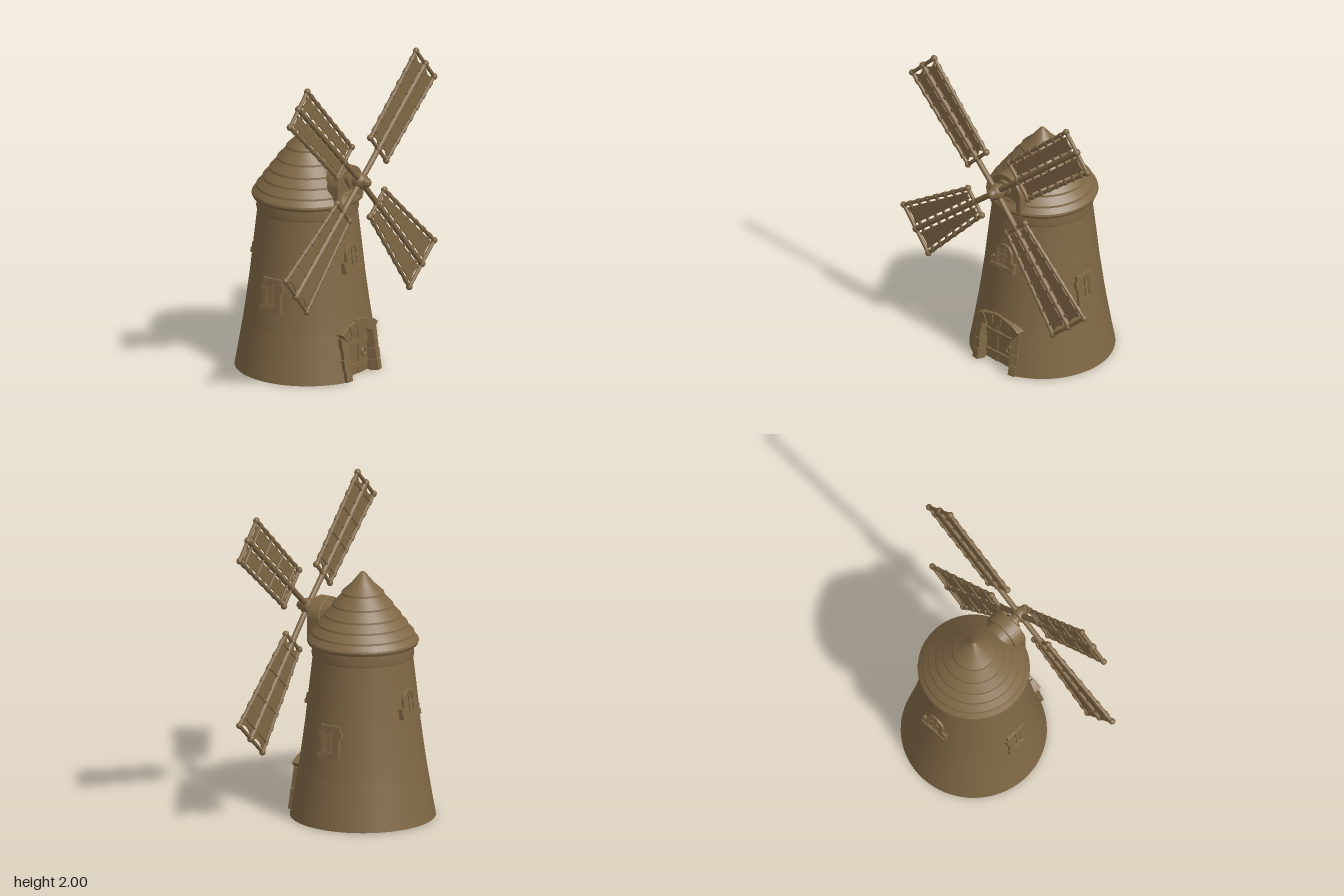
import * as THREE from 'three';
import { toCreasedNormals } from 'three/addons/utils/BufferGeometryUtils.js';

const clay = new THREE.MeshStandardMaterial({ color: 0x7f6745, side: THREE.DoubleSide });
clay.name = 'brown clay';

function add(parent, name, geometry, x = 0, y = 0, z = 0) {
  const m = new THREE.Mesh(geometry, clay);
  m.name = name;
  m.position.set(x, y, z);
  parent.add(m);
  return m;
}
const group = (parent, name) => {
  const g = new THREE.Group();
  g.name = name;
  parent.add(g);
  return g;
};
const box = (p, name, w, h, d, x, y, z) => add(p, name, new THREE.BoxGeometry(w, h, d), x, y, z);

// Round bar between two points
function bar(p, name, a, b, r, sides = 10) {
  const A = new THREE.Vector3(...a), B = new THREE.Vector3(...b);
  const dir = B.clone().sub(A);
  const m = add(p, name, new THREE.CylinderGeometry(r, r, dir.length(), sides));
  m.position.copy(A).add(B).multiplyScalar(0.5);
  m.quaternion.setFromUnitVectors(new THREE.Vector3(0, 1, 0), dir.normalize());
  return m;
}
function lathe(p, name, pts, start = 0, length = Math.PI * 2) {
  const g = new THREE.LatheGeometry(pts.map(q => new THREE.Vector2(...q)), 64, start, length);
  return add(p, name, toCreasedNormals(g, 0.45), 0, 0, -0.015);
}
const extrude = (shape, depth, bevel = 0) => new THREE.ExtrudeGeometry(shape, {
  depth, curveSegments: 10, bevelEnabled: bevel > 0, bevelThickness: bevel, bevelSize: bevel, bevelOffset: -bevel, bevelSegments: 2 });

// Upright opening with a round top, standing on y = y0
function archShape(halfW, y0, springY, rise, Type = THREE.Shape) {
  const s = new Type();
  s.moveTo(-halfW, y0);
  s.lineTo(halfW, y0);
  s.lineTo(halfW, springY);
  s.absellipse(0, springY, halfW, rise, 0, Math.PI, false);
  s.lineTo(-halfW, y0);
  return s;
}
// Ring of wedge stones around a centre
function archStones(p, cy, rIn, rOut, half, count, z, depth) {
  const step = 2 * half / count;
  for (let i = 0; i < count; i++) {
    const a0 = Math.PI / 2 - half + i * step + 0.008, a1 = a0 + step - 0.016;
    const s = new THREE.Shape();
    s.absarc(0, cy, rOut + (i % 2 ? 0 : 0.004), a0, a1, false);
    s.absarc(0, cy, rIn, a1, a0, true);
    s.closePath();
    add(p, 'archStone', extrude(s, depth, 0.004), 0, 0, z);
  }
}

// Tapered round wall, open below, with a gap for the doorway
function buildTower(root) {
  const t = group(root, 'tower'), gap = 0.325, w = 0.014;
  const low = [[0.445, 0], [0.427, 0.1], [0.41, 0.2], [0.393, 0.3]];
  const high = [[0.393, 0.3], [0.378, 0.4], [0.351, 0.6], [0.329, 0.8], [0.306, 1.0], [0.3, 1.09]];
  const shell = pts => [...pts.map(([r, y]) => [r - w, y]).reverse(), ...pts];
  lathe(t, 'lowerWall', shell(low), gap, Math.PI * 2 - 2 * gap);
  lathe(t, 'upperWall', shell(high));
  lathe(t, 'collar', [[0.295, 1.0], [0.31, 1.005], [0.313, 1.02], [0.306, 1.09]]);
}

// Stepped conical roof
function buildRoof(root) {
  const r = group(root, 'roof');
  const tiers = [[0.342, 1.1], [0.316, 1.145], [0.277, 1.2], [0.236, 1.255], [0.188, 1.32], [0.132, 1.394]];
  const pts = [[0.285, 1.09], [0.334, 1.082]];
  tiers.forEach(([rad, y], i) => {
    if (i) pts.push([rad - 0.007, y + 0.002]);
    pts.push([rad, y], [rad - 0.003, y + 0.012]);
  });
  pts.push([0.07, 1.46], [0.015, 1.527], [0, 1.535]);
  lathe(r, 'roofTiers', pts);

  // Dormer that holds the sail shaft
  const d = group(root, 'dormer');
  add(d, 'dormerBody', extrude(archShape(0.105, 1.1, 1.22, 0.1), 0.27), 0, 0, 0.02);
  const rim = archShape(0.128, 1.09, 1.21, 0.122);
  rim.holes.push(archShape(0.088, 1.12, 1.21, 0.085, THREE.Path));
  add(d, 'dormerRim', extrude(rim, 0.075, 0.006), 0, 0, 0.23);
}

function buildDoor(root) {
  const d = group(root, 'door');
  // Planks and recess walls
  for (let i = 0; i < 5; i++)
    box(d, 'doorPlank', 0.051, 0.3, 0.02, -0.106 + i * 0.053, 0.15, 0.335 + (i % 2) * 0.004);
  for (const y of [0.06, 0.205]) box(d, 'doorBrace', 0.23, 0.028, 0.014, 0, y, 0.352);
  const ring = add(d, 'doorRing', new THREE.TorusGeometry(0.022, 0.006, 8, 18), 0.075, 0.13, 0.356);
  ring.rotation.x = -0.1;
  for (const s of [-1, 1]) {
    box(d, 'recessWall', 0.014, 0.3, 0.06, s * 0.133, 0.15, 0.35);
    // Jamb stones following the wall slope
    [0.035, 0.105, 0.175, 0.24].forEach((y, i) => {
      const st = box(d, 'jambStone', 0.046 + (i % 2) * 0.008, 0.066, 0.06, s * 0.147, y, 0.393 - y * 0.17);
      st.rotation.set(-0.16, s * 0.2, 0);
    });
  }
  box(d, 'recessCeiling', 0.27, 0.02, 0.06, 0, 0.3, 0.345);
  archStones(d, 0.075, 0.215, 0.286, 0.68, 5, 0.312, 0.07);
}

// Arched window in a stone frame, set on the wall at the given angle
function buildWindow(root, name, angle, y, radius, tall) {
  const pivot = group(root, name);
  pivot.position.set(0, y, -0.015);
  pivot.rotation.y = angle;
  const w = group(pivot, name + 'Frame');
  w.position.z = radius;
  w.rotation.x = -0.12;
  const hw = tall ? 0.037 : 0.045, bottom = -0.065, spring = tall ? 0.035 : 0.02;
  const frame = tall ? new THREE.Shape([[-0.07, -0.08], [0.07, -0.08], [0.07, 0.1], [-0.07, 0.1]].map(q => new THREE.Vector2(...q)))
    : archShape(hw + 0.022, bottom - 0.01, spring, hw + 0.022);
  frame.holes.push(archShape(hw, bottom, spring, hw, THREE.Path));
  add(w, 'windowSurround', extrude(frame, 0.03, 0.004), 0, 0, -0.022);
  add(w, 'windowPane', new THREE.ShapeGeometry(archShape(hw, bottom, spring, hw)), 0, 0, 0.002);
  const h = spring + hw - bottom;
  box(w, 'mullion', 0.012, h, 0.012, 0, bottom + h / 2, 0.004);
  box(w, 'crossBar', hw * 2, 0.011, 0.012, 0, 0.005, 0.004);
  const sash = archShape(hw, bottom, spring, hw);
  sash.holes.push(archShape(hw - 0.01, bottom + 0.01, spring, hw - 0.01, THREE.Path));
  add(w, 'sash', extrude(sash, 0.01), 0, 0, -0.002);
  box(w, 'sill', tall ? 0.155 : 0.19, 0.03, 0.045, 0, tall ? -0.093 : -0.075, -0.003);
  for (const s of [-1, 1])
    box(w, 'sideStone', 0.03, 0.045, 0.036, s * (tall ? 0.066 : 0.08), tall ? 0.04 : -0.045, -0.006);
}

// One sail along +x: spar, rails, two cloth strips and lacing
function buildSail(rotor, [deg, u0, u1, w0, w1]) {
  const s = group(rotor, 'sail');
  s.rotation.z = deg * Math.PI / 180;
  const half = u => (w0 + (w1 - w0) * (u - u0) / (u1 - u0)) / 2;
  bar(s, 'spar', [0, 0, 0], [u1 + 0.015, 0, 0], 0.0175, 12);
  for (const u of [u0, u1]) {
    bar(s, 'endRail', [u, -half(u), 0], [u, half(u), 0], 0.012);
    for (const e of [-1, 0, 1]) {
      const k = add(s, 'knot', new THREE.SphereGeometry(e ? 0.021 : 0.024, 12, 8), u, e * half(u), 0);
      k.scale.z = 0.95;
    }
  }
  for (const e of [-1, 1]) {
    bar(s, 'sideRail', [u0, e * half(u0), 0], [u1, e * half(u1), 0], 0.0115);
    // Cloth with scooped ends
    const a = u0 + 0.018, b = u1 - 0.018, inset = 0.024, near = 0.031;
    const c = new THREE.Shape();
    c.moveTo(a, e * near);
    c.lineTo(b, e * near);
    c.quadraticCurveTo(b - 0.03, e * half(b) / 2, b, e * (half(b) - inset));
    c.lineTo(a, e * (half(a) - inset));
    c.quadraticCurveTo(a + 0.03, e * half(a) / 2, a, e * near);
    add(s, 'cloth', extrude(c, 0.008), 0, 0, -0.004);
    const n = 7;
    for (let i = 0; i < n; i++) {
      const u = u0 + (u1 - u0) * (i + 0.7) / (n + 0.4), v = e * half(u);
      bar(s, 'lashing', [u - 0.014, e * half(u - 0.014), 0], [u + 0.014, e * half(u + 0.014), 0], 0.0155);
      box(s, 'railTie', 0.022, 0.03, 0.012, u, v - e * 0.016, 0);
      box(s, 'sparTie', 0.022, 0.024, 0.012, u, e * 0.024, 0);
      if (i % 2 === 0) bar(s, 'batten', [u, e * 0.01, -0.006], [u, v, -0.006], 0.006, 6);
    }
  }
}

function buildRotor(root) {
  const r = group(root, 'rotor');
  r.position.set(0, 1.25, 0.387);
  r.rotation.x = -0.012;
  // Shaft, flange and rounded nose turned along z
  const prof = [[0, -0.16], [0.034, -0.16], [0.034, -0.075], [0.054, -0.07], [0.054, -0.052], [0.034, -0.046],
    [0.034, -0.03], [0.048, -0.022], [0.052, 0], [0.046, 0.024], [0.032, 0.036], [0.029, 0.056], [0.018, 0.07], [0, 0.075]];
  const hub = new THREE.LatheGeometry(prof.map(q => new THREE.Vector2(...q)), 24);
  add(r, 'hub', toCreasedNormals(hub, 0.7)).rotation.x = Math.PI / 2;
  const sails = [
    [134.7, 0.235, 0.89, 0.215, 0.255],
    [40.4, 0.24, 0.88, 0.25, 0.28],
    [-48.6, 0.25, 0.93, 0.2, 0.345],
    [219.6, 0.235, 0.872, 0.185, 0.33],
  ];
  sails.forEach(s => buildSail(r, s));
}

export function createModel() {
  const root = new THREE.Group();
  root.name = 'windmill';
  buildTower(root);
  buildRoof(root);
  buildDoor(root);
  buildWindow(root, 'frontWindow', 0, 0.755, 0.334, false);
  buildWindow(root, 'backWindow', Math.PI, 0.755, 0.334, false);
  buildWindow(root, 'leftWindow', Math.PI / 2, 0.54, 0.359, true);
  buildWindow(root, 'rightWindow', -Math.PI / 2, 0.54, 0.359, true);
  buildRotor(root);
  return root;
}
